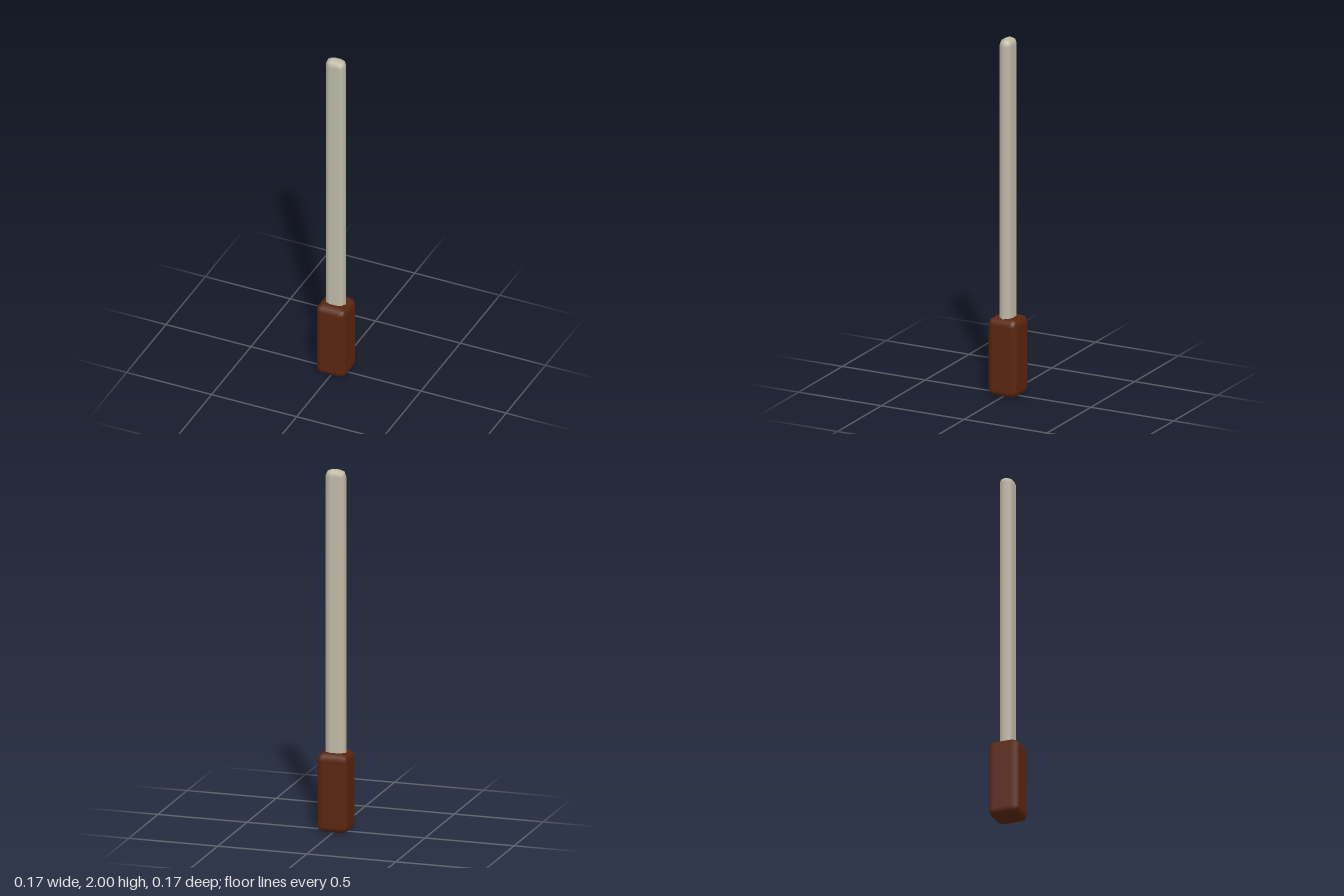
import * as THREE from 'three';
import { RoundedBoxGeometry } from 'three/addons/geometries/RoundedBoxGeometry.js';

// Rounded bar spanning from one height to another, with two-facet smooth corners
function roundedBar(name, width, depth, bottom, top, radius, material) {
  const geometry = new RoundedBoxGeometry(width, top - bottom, depth, 1, radius);
  const mesh = new THREE.Mesh(geometry, material);
  mesh.name = name;
  mesh.position.y = (bottom + top) / 2;
  return mesh;
}

export function createModel() {
  const brown = new THREE.MeshStandardMaterial({ color: 0x5a2610 });
  brown.name = 'dark brown';
  const stone = new THREE.MeshStandardMaterial({ color: 0xc0bba8 });
  stone.name = 'pale stone grey';

  const model = new THREE.Group();
  model.name = 'handledRod';

  // Square grip
  model.add(roundedBar('handle', 0.174, 0.174, 0, 0.437, 0.037, brown));
  // Flattened shaft with fully rounded sides, set into the grip
  model.add(roundedBar('shaft', 0.116, 0.078, 0.38, 2, 0.0388, stone));

  return model;
}
